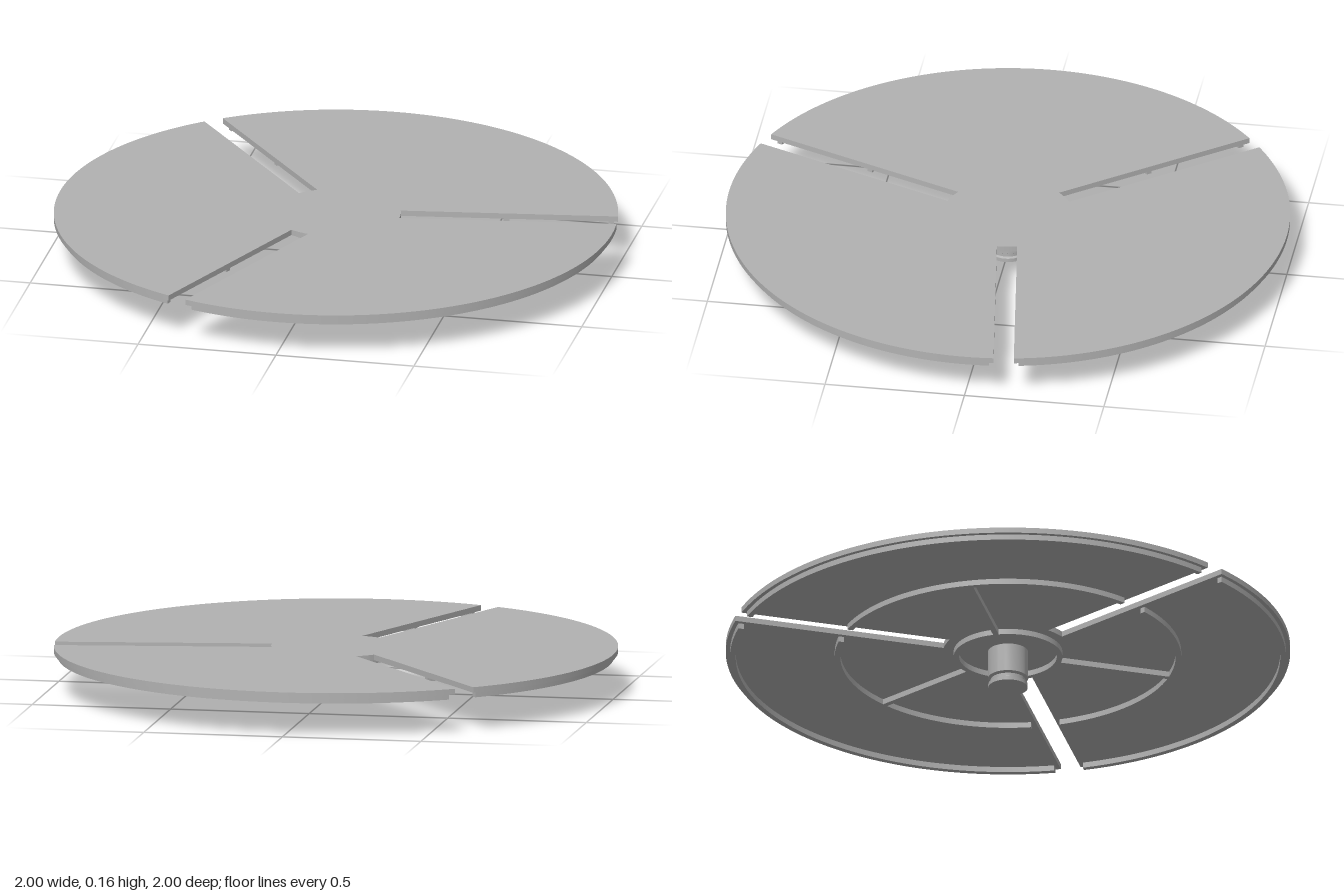
import * as THREE from 'three';
import { toCreasedNormals } from 'three/addons/utils/BufferGeometryUtils.js';

const SLOT_START = THREE.MathUtils.degToRad(8);
const THIRD = Math.PI * 2 / 3;
const UNDERSIDE = 0.14, RIB_BOTTOM = 0.12, TOP = 0.16;

// Extrudes a plan outline upward between two heights
function slab(shape, y0, y1, curveSegments) {
  const geo = new THREE.ExtrudeGeometry(shape, { depth: y1 - y0, bevelEnabled: false, curveSegments });
  geo.rotateX(-Math.PI / 2);
  geo.translate(0, y0, 0);
  return toCreasedNormals(geo, 0.5);
}

// Disc outline with three radial slots open at the rim
function slottedDisc(radius, slotInner, halfWidth) {
  const shape = new THREE.Shape();
  const outer = Math.asin(halfWidth / radius), inner = Math.asin(halfWidth / slotInner);
  for (let i = 0; i < 3; i++) {
    const a = SLOT_START + i * THIRD, b = a + THIRD;
    shape.absarc(0, 0, radius, a + outer, b - outer, false);
    shape.absarc(0, 0, slotInner, b - inner, b + inner, false);
  }
  shape.closePath();
  return shape;
}

// Arc band between two neighbouring slots, stopping short of each
function arcBand(rIn, rOut, halfGap, index) {
  const a = SLOT_START + index * THIRD, b = a + THIRD;
  const o = Math.asin(halfGap / rOut), n = Math.asin(halfGap / rIn);
  const shape = new THREE.Shape();
  shape.absarc(0, 0, rOut, a + o, b - o, false);
  shape.absarc(0, 0, rIn, b - n, a + n, true);
  shape.closePath();
  return shape;
}

export function createModel() {
  const model = new THREE.Group();
  const grey = new THREE.MeshStandardMaterial({ color: 0xb2b2b2 });
  grey.name = 'grey';
  const add = (name, geo) => {
    const mesh = new THREE.Mesh(geo, grey);
    mesh.name = name;
    model.add(mesh);
    return mesh;
  };

  add('plate', slab(slottedDisc(1, 0.23, 0.036), UNDERSIDE, TOP, 64));

  // Underside ribs: outer lip, middle ring and spokes opposite the slots
  for (let i = 0; i < 3; i++) {
    add('outerLip', slab(arcBand(0.965, 0.985, 0.052, i), RIB_BOTTOM, UNDERSIDE, 64));
    add('middleRing', slab(arcBand(0.594, 0.614, 0.052, i), RIB_BOTTOM, UNDERSIDE, 48));

    const angle = SLOT_START + (i + 0.5) * THIRD;
    const spoke = add('spoke', new THREE.BoxGeometry(0.415, UNDERSIDE - RIB_BOTTOM, 0.02));
    spoke.position.set(Math.cos(angle) * 0.392, (UNDERSIDE + RIB_BOTTOM) / 2, -Math.sin(angle) * 0.392);
    spoke.rotation.y = angle;
  }

  // Ring around the hub
  const ring = new THREE.Shape().absarc(0, 0, 0.193, 0, Math.PI * 2, false);
  ring.holes.push(new THREE.Path().absarc(0, 0, 0.173, 0, Math.PI * 2, true));
  add('hubRing', slab(ring, RIB_BOTTOM, UNDERSIDE, 64));

  // Turned hub with a groove above its foot
  const profile = [
    [0, 0], [0.07, 0], [0.07, 0.014], [0.062, 0.018], [0.062, 0.03],
    [0.071, 0.036], [0.071, UNDERSIDE],
  ].map(([r, y]) => new THREE.Vector2(r, y));
  add('hub', toCreasedNormals(new THREE.LatheGeometry(profile, 48), 0.4));

  return model;
}
